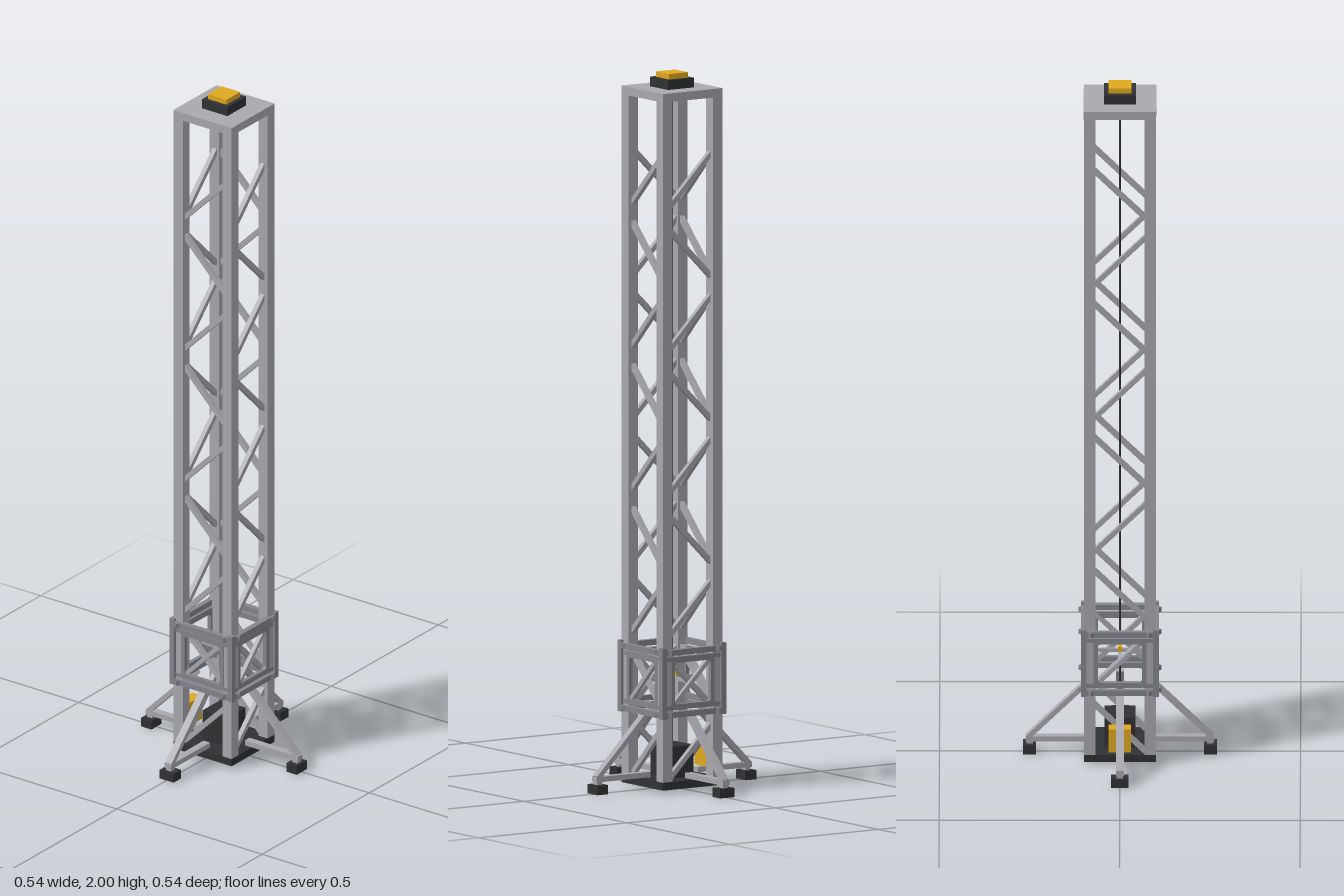
import * as THREE from 'three';

const mat = (name, color) => {
  const m = new THREE.MeshStandardMaterial({ color });
  m.name = name;
  return m;
};

export function createModel() {
  const steel = mat('steel grey', 0xa9a8ae);
  const frameGrey = mat('carriage grey', 0x85868c);
  const black = mat('charcoal', 0x303134);
  const gold = mat('amber', 0xe0a820);
  const model = new THREE.Group();
  model.name = 'latticeTower';

  const box = (parent, name, material, size, pos) => {
    const m = new THREE.Mesh(new THREE.BoxGeometry(...size), material);
    m.position.set(...pos);
    m.name = name;
    parent.add(m);
    return m;
  };
  // square bar between two points; w is its sideways width, h its other thickness
  const bar = (parent, name, material, a, b, w, h = w) => {
    const p = new THREE.Vector3(...a), q = new THREE.Vector3(...b);
    const m = new THREE.Mesh(new THREE.BoxGeometry(w, h, p.distanceTo(q)), material);
    m.position.copy(p).add(q).multiplyScalar(0.5);
    m.lookAt(q);
    m.name = name;
    parent.add(m);
    return m;
  };
  const group = (name) => {
    const g = new THREE.Group();
    g.name = name;
    model.add(g);
    return g;
  };

  // Mast: corner posts and plates
  const mast = group('mast');
  for (const x of [-1, 1]) for (const z of [-1, 1])
    box(mast, 'cornerPost', steel, [0.032, 1.91, 0.032], [x * 0.084, 0.985, z * 0.084]);
  box(mast, 'basePlate', black, [0.2, 0.022, 0.2], [0, 0.019, 0]);
  box(mast, 'topPlate', steel, [0.201, 0.024, 0.201], [0, 1.946, 0]);

  // Zigzag lattice, one brace per panel on each side
  const lattice = group('lattice');
  const r = 0.082;
  for (let k = 0; k < 9; k++) {
    const y = 0.105 + 0.2 * k, s = k % 2 ? -1 : 1;
    for (const side of [-1, 1]) {
      bar(lattice, 'brace', steel, [-r, y - s * r, side * r], [r, y + s * r, side * r], 0.014);
      bar(lattice, 'brace', steel,
        [side * r, y - s * r, side * r], [side * r, y + s * r, -side * r], 0.014);
    }
  }

  // Head at the top of the mast
  const head = group('head');
  box(head, 'headHousing', black, [0.088, 0.028, 0.088], [0, 1.971, 0]);
  box(head, 'headCap', gold, [0.064, 0.016, 0.064], [0, 1.992, 0]);

  // Hoist: motor, cable and control box
  const hoist = group('hoist');
  box(hoist, 'motor', black, [0.086, 0.088, 0.086], [0, 0.074, 0]);
  box(hoist, 'controlBox', gold, [0.062, 0.07, 0.034], [0, 0.085, -0.115]);
  const cable = new THREE.Mesh(new THREE.CylinderGeometry(0.0028, 0.0028, 1.83, 8), black);
  cable.position.y = 1.025;
  cable.name = 'cable';
  hoist.add(cable);

  // Sliding carriage around the mast
  const carriage = group('carriage');
  const rounded = (p, a, b, c) => {
    p.moveTo(-a + c, -b).lineTo(a - c, -b).quadraticCurveTo(a, -b, a, -b + c);
    p.lineTo(a, b - c).quadraticCurveTo(a, b, a - c, b);
    p.lineTo(-a + c, b).quadraticCurveTo(-a, b, -a, b - c);
    p.lineTo(-a, -b + c).quadraticCurveTo(-a, -b, -a + c, -b);
    return p;
  };
  const frameShape = rounded(new THREE.Shape(), 0.073, 0.071, 0.006);
  frameShape.holes.push(rounded(new THREE.Path(), 0.061, 0.058, 0.01));
  const frameGeometry = new THREE.ExtrudeGeometry(frameShape,
    { depth: 0.012, bevelEnabled: false, curveSegments: 4 });
  for (let i = 0; i < 4; i++) {
    const side = new THREE.Group();
    side.name = 'carriageSide';
    side.rotation.y = i * Math.PI / 2;
    carriage.add(side);
    box(side, 'carriagePost', frameGrey, [0.016, 0.2, 0.016], [0.1, 0.307, 0.1]);
    for (const y of [0.218, 0.392])
      box(side, 'carriageRail', frameGrey, [0.214, 0.016, 0.016], [0, y, 0.1]);
    for (const y of [0.237, 0.373])
      box(side, 'innerRail', frameGrey, [0.19, 0.012, 0.012], [0, y, 0.096]);
    const frame = new THREE.Mesh(frameGeometry, frameGrey);
    frame.position.set(0, 0.304, 0.09);
    frame.name = 'windowFrame';
    side.add(frame);
    bar(side, 'carriageBrace', steel, [-0.078, 0.227, 0.094], [0.078, 0.383, 0.094], 0.012);
    // small clamps at the corners
    for (const x of [-0.08, 0.08]) for (const y of [0.218, 0.392]) {
      const c = box(side, 'clamp', frameGrey, [0.014, 0.014, 0.014], [x, y, 0.105]);
      c.rotation.y = Math.PI / 4;
    }
  }
  box(carriage, 'crossShaft', steel, [0.19, 0.01, 0.01], [0, 0.304, 0]);
  box(carriage, 'crossShaft', steel, [0.01, 0.01, 0.19], [0, 0.304, 0]);
  box(carriage, 'cableGrip', gold, [0.01, 0.02, 0.02], [0, 0.315, -0.02]);

  // Four outriggers
  for (let i = 0; i < 4; i++) {
    const leg = group('outrigger');
    leg.rotation.y = i * Math.PI / 2;
    box(leg, 'footPad', black, [0.048, 0.026, 0.036], [0, 0.013, 0.25]);
    bar(leg, 'legBeam', steel, [0, 0.041, 0.08], [0, 0.041, 0.262], 0.022, 0.015);
    bar(leg, 'legStay', steel, [0, 0.207, 0.093], [0, 0.045, 0.255], 0.022, 0.014);
    box(leg, 'footPin', steel, [0.018, 0.02, 0.018], [0, 0.032, 0.25]);
  }
  return model;
}
